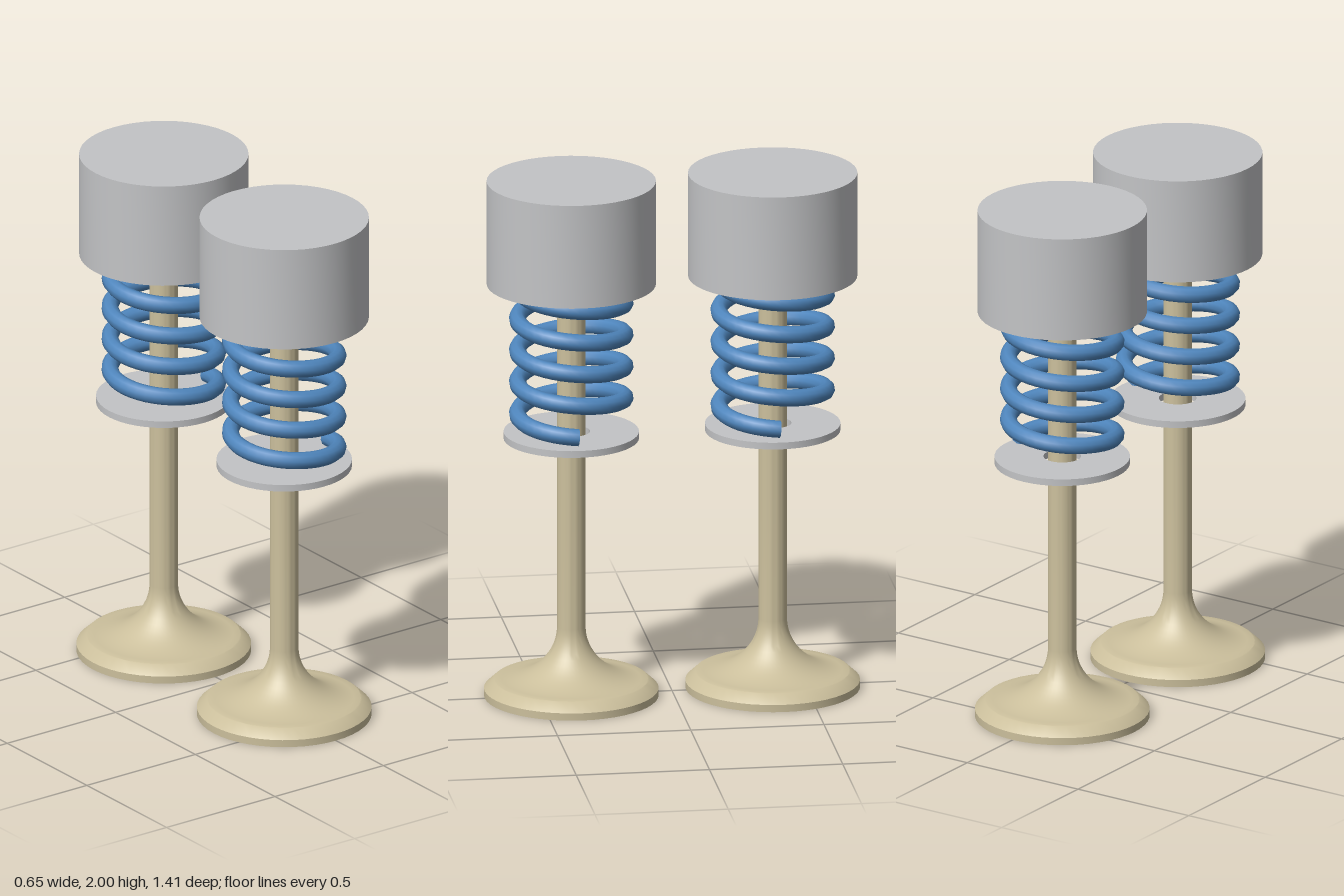
import * as THREE from 'three';
import { toCreasedNormals } from 'three/addons/utils/BufferGeometryUtils.js';

const steel = new THREE.MeshStandardMaterial({ name: 'grey steel', color: 0xc3c4c6 });
const valveMetal = new THREE.MeshStandardMaterial({ name: 'tan valve metal', color: 0xcbbf9c });
const springBlue = new THREE.MeshStandardMaterial({ name: 'blue spring', color: 0x4f86bd });

// Turned part from [radius, height] pairs, with sharp corners kept
function turned(name, profile, material) {
  const points = profile.map(([r, y]) => new THREE.Vector2(r, y));
  const geometry = toCreasedNormals(new THREE.LatheGeometry(points, 48), 0.45);
  const mesh = new THREE.Mesh(geometry, material);
  mesh.name = name;
  return mesh;
}

// Flat ring, or washer
function ring(name, inner, outer, y0, y1) {
  return turned(name, [[inner, y0], [outer, y0], [outer, y1], [inner, y1], [inner, y0]], steel);
}

class Helix extends THREE.Curve {
  constructor(radius, y0, pitch, turns) {
    super();
    Object.assign(this, { radius, y0, pitch, turns });
  }
  getPoint(t, target = new THREE.Vector3()) {
    const a = t * this.turns * Math.PI * 2;
    return target.set(
      this.radius * Math.cos(a),
      this.y0 + this.pitch * this.turns * t,
      this.radius * Math.sin(a)
    );
  }
}

function makeSpring() {
  const group = new THREE.Group();
  group.name = 'spring';
  const wire = 0.032;
  const path = new Helix(0.2, 1.062, 0.123, 6);
  const coil = new THREE.Mesh(new THREE.TubeGeometry(path, 240, wire, 10), springBlue);
  coil.name = 'springCoil';
  group.add(coil);
  // Flat cut ends of the wire
  for (const t of [0, 1]) {
    const cap = new THREE.Mesh(new THREE.CircleGeometry(wire, 10), springBlue);
    cap.name = 'springEnd';
    const p = path.getPoint(t);
    const outward = path.getTangent(t).multiplyScalar(t ? 1 : -1);
    cap.position.copy(p);
    cap.lookAt(p.clone().add(outward));
    group.add(cap);
  }
  return group;
}

function makeValve() {
  const group = new THREE.Group();
  const stemRadius = 0.053;

  // Disc head with chamfered seat, flowing in a fillet up into the stem
  const profile = [[0, 0], [0.325, 0], [0.325, 0.028], [0.288, 0.062]];
  for (let i = 0; i <= 14; i++) {
    const a = (i / 14) * Math.PI / 2;
    profile.push([0.285 - (0.285 - stemRadius) * Math.sin(a), 0.268 - 0.205 * Math.cos(a)]);
  }
  profile.push([stemRadius, 1.9], [0, 1.9]);
  group.add(turned('valveHeadAndStem', profile, valveMetal));

  // Lower spring seat and the retainer hidden in the bucket
  group.add(ring('springSeat', 0.07, 0.252, 1.0, 1.026));
  group.add(ring('springRetainer', stemRadius, 0.252, 1.832, 1.87));
  group.add(makeSpring());

  // Hollow bucket, open underneath
  group.add(turned('bucketTappet', [
    [0, 1.92], [0.275, 1.92], [0.275, 1.6], [0.315, 1.6], [0.315, 2], [0, 2],
  ], steel));
  return group;
}

export function createModel() {
  const model = new THREE.Group();
  model.name = 'valvePair';
  for (const [name, z] of [['frontValve', 0.378], ['rearValve', -0.378]]) {
    const valve = makeValve();
    valve.name = name;
    valve.position.z = z;
    model.add(valve);
  }
  return model;
}
